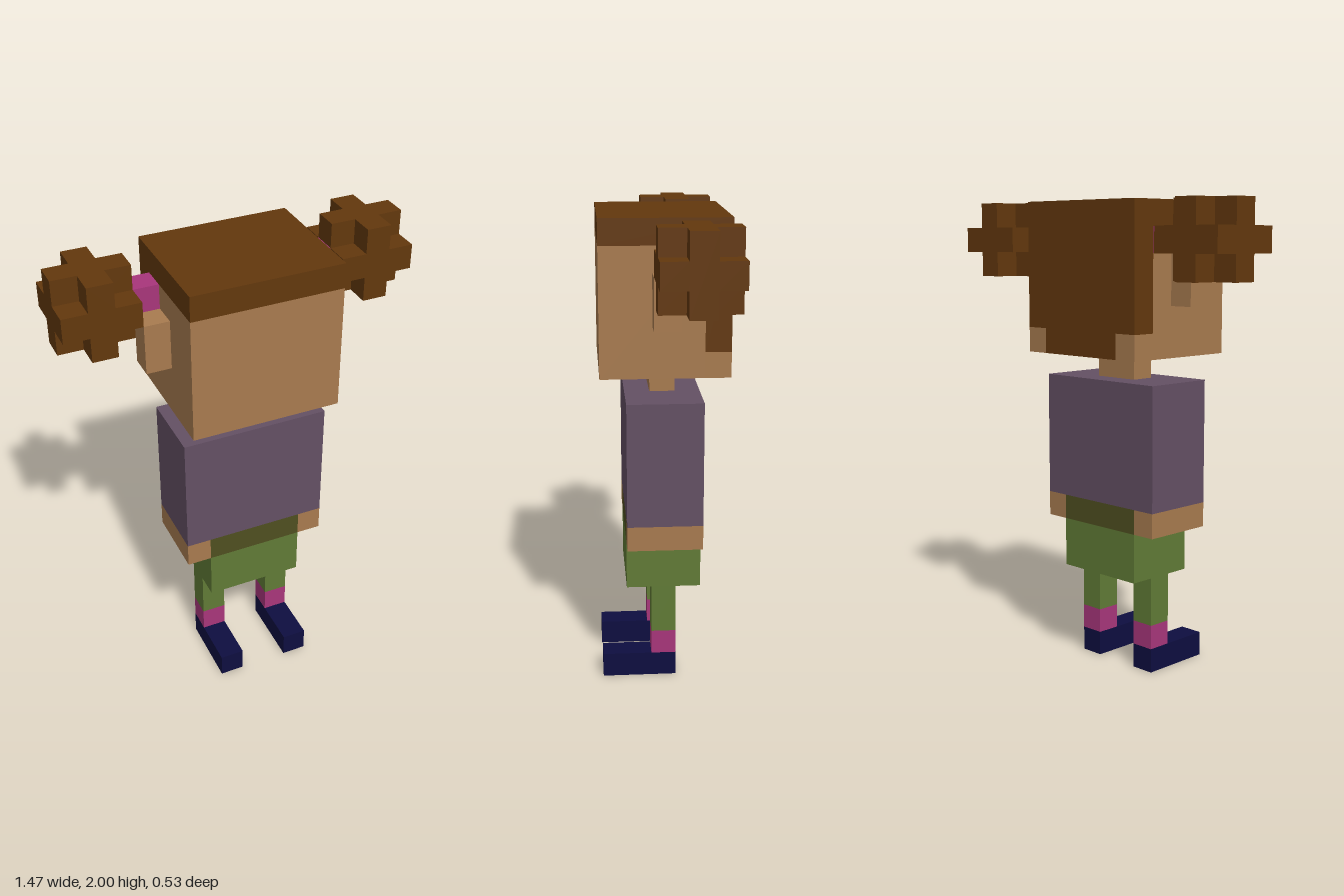
import * as THREE from 'three';

// The figure sits on a cube grid, 19 cells tall
const U = 2 / 19;

const paint = (color) => new THREE.MeshStandardMaterial({ color, flatShading: true });
const HAIR = paint(0x63380d);
const SKIN = paint(0xa87b4f);
const SHIRT = paint(0x645064);
const GREEN = paint(0x617b36);
const OLIVE = paint(0x4f4f20);
const PINK = paint(0xa8367b);
const NAVY = paint(0x0e0e40);

// Box given by its [min, max] cell range on each axis
function block(name, material, [x0, x1], [y0, y1], [z0, z1]) {
  const geometry = new THREE.BoxGeometry((x1 - x0) * U, (y1 - y0) * U, (z1 - z0) * U);
  const mesh = new THREE.Mesh(geometry, material);
  mesh.name = name;
  mesh.position.set((x0 + x1) / 2 * U, (y0 + y1) / 2 * U, (z0 + z1) / 2 * U);
  return mesh;
}

// Three-cell cube with its eight corners missing: plus, square, plus
function hairBun(name, x, y, z) {
  const bun = new THREE.Group();
  bun.name = name;
  const a = 0.5 * U, b = 1.5 * U;
  const plus = new THREE.Shape([
    [a, b], [-a, b], [-a, a], [-b, a], [-b, -a], [-a, -a],
    [-a, -b], [a, -b], [a, -a], [b, -a], [b, a], [a, a],
  ].map(([px, py]) => new THREE.Vector2(px, py)));
  const plusGeometry = new THREE.ExtrudeGeometry(plus, { depth: U, bevelEnabled: false });
  for (const [part, z0] of [['bunFront', a], ['bunBack', -b]]) {
    const layer = new THREE.Mesh(plusGeometry, HAIR);
    layer.name = part;
    layer.position.z = z0;
    bun.add(layer);
  }
  bun.add(block('bunMiddle', HAIR, [-1.5, 1.5], [-1.5, 1.5], [-0.5, 0.5]));
  bun.position.set(x * U, y * U, z * U);
  return bun;
}

export function createModel() {
  const model = new THREE.Group();
  model.name = 'figure';

  // Body
  model.add(
    block('shorts', GREEN, [-2, 2], [4, 6], [-1.5, 1.5]),
    block('waist', OLIVE, [-2, 2], [6, 7], [-1.5, 1.5]),
    block('shirt', SHIRT, [-3, 3], [7, 12], [-1.5, 1.5]),
    block('neck', SKIN, [-1, 1], [12, 13], [-0.5, 0.5]),
  );

  // Head and hair
  model.add(
    block('head', SKIN, [-3, 3], [13, 18], [-1.5, 2.5]),
    block('hairTop', HAIR, [-3, 3], [18, 19], [-2.5, 2.5]),
    block('hairBack', HAIR, [-3, 3], [14, 18], [-2.5, -1.5]),
    block('hairNape', HAIR, [-2, 2], [13, 14], [-2.5, -1.5]),
  );

  // Paired parts
  for (const [side, s] of [['left', 1], ['right', -1]]) {
    const span = (inner, outer) => (s > 0 ? [inner, outer] : [-outer, -inner]);
    model.add(
      block(side + 'Shoe', NAVY, span(1, 2), [0, 1], [-0.5, 2.5]),
      block(side + 'Sock', PINK, span(1, 2), [1, 2], [-0.5, 0.5]),
      block(side + 'Leg', GREEN, span(1, 2), [2, 4], [-0.5, 0.5]),
      block(side + 'Hand', SKIN, span(2, 3), [6, 7], [-1.5, 1.5]),
      block(side + 'HeadCorner', SKIN, span(2, 3), [13, 14], [-2.5, -1.5]),
      block(side + 'Ear', SKIN, span(3, 4), [15, 17], [-0.5, 0.5]),
      block(side + 'HairTie', PINK, span(3, 4), [17, 18], [-1.5, -0.5]),
      hairBun(side + 'Bun', s * 5.5, 17.5, -1),
    );
  }
  return model;
}
